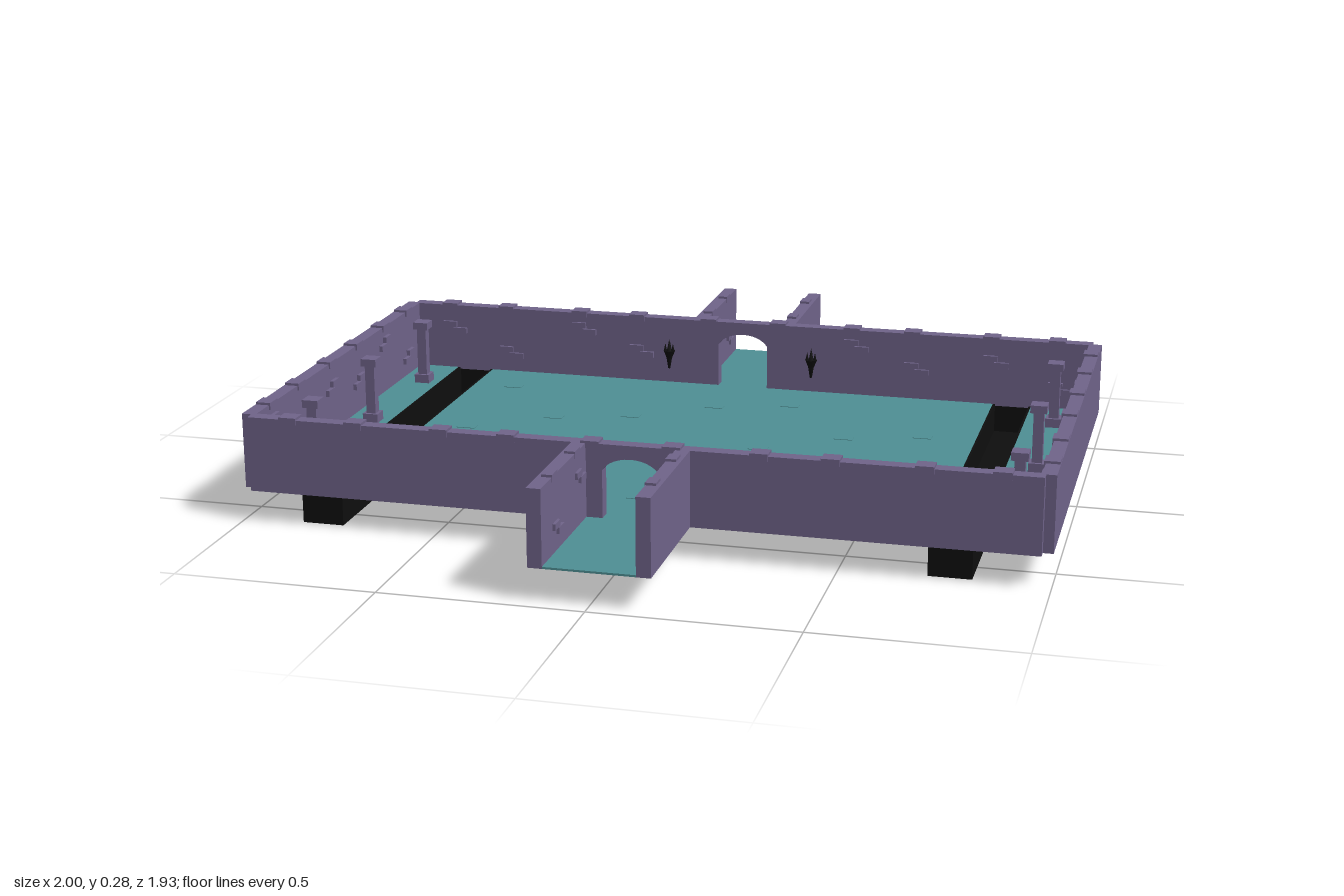
import * as THREE from 'three';

const stone = new THREE.MeshStandardMaterial({ color: 0x70648a });
stone.name = 'purple stone';
const tile = new THREE.MeshStandardMaterial({ color: 0x4f9095 });
tile.name = 'teal floor';
const black = new THREE.MeshStandardMaterial({ color: 0x0e0e0e });
black.name = 'black iron';

const FLOOR = 0.085, BASE = 0.08, TOP = 0.27;

// Box given by its min and max corners
function box(parent, name, mat, x0, x1, y0, y1, z0, z1) {
  const m = new THREE.Mesh(new THREE.BoxGeometry(x1 - x0, y1 - y0, z1 - z0), mat);
  m.position.set((x0 + x1) / 2, (y0 + y1) / 2, (z0 + z1) / 2);
  m.name = name;
  parent.add(m);
  return m;
}

// Box given by its centre and size
function block(parent, name, mat, x, y, z, w, h, d) {
  return box(parent, name, mat, x - w / 2, x + w / 2, y - h / 2, y + h / 2, z - d / 2, z + d / 2);
}

// Long wall with an arched doorway, thickness along z
function archedWall(name, z0) {
  const s = new THREE.Shape();
  s.moveTo(-0.975, BASE);
  s.lineTo(-0.07, BASE);
  s.lineTo(-0.07, 0.205);
  s.bezierCurveTo(-0.045, 0.247, 0.045, 0.247, 0.07, 0.205);
  s.lineTo(0.07, BASE);
  s.lineTo(0.975, BASE);
  s.lineTo(0.975, TOP);
  s.lineTo(-0.975, TOP);
  const g = new THREE.ExtrudeGeometry(s, { depth: 0.035, bevelEnabled: false, curveSegments: 12 });
  const m = new THREE.Mesh(g, stone);
  m.position.z = z0;
  m.name = name;
  return m;
}

// Trench open at the top
function trough(x0, x1) {
  const g = new THREE.Group();
  g.name = 'floorTrench';
  const t = 0.006, z = 0.585;
  box(g, 'trenchBottom', black, x0, x1, 0, t, -z, z);
  box(g, 'trenchSide', black, x0, x0 + t, t, FLOOR, -z, z);
  box(g, 'trenchSide', black, x1 - t, x1, t, FLOOR, -z, z);
  for (const s of [-1, 1]) block(g, 'trenchEnd', black, (x0 + x1) / 2, 0.043, s * (z - t / 2), x1 - x0 - 2 * t, 0.074, t);
  return g;
}

function pillar(x, z) {
  const g = new THREE.Group();
  g.name = 'pillar';
  block(g, 'pillarBase', stone, 0, 0.012, 0, 0.042, 0.024, 0.042);
  block(g, 'pillarShaft', stone, 0, 0.09, 0, 0.026, 0.14, 0.026);
  block(g, 'pillarCap', stone, 0, 0.166, 0, 0.042, 0.02, 0.042);
  g.position.set(x, FLOOR, z);
  return g;
}

// Wall torch: tapered cup, spiky flames and a bracket
function torch(x, side) {
  const g = new THREE.Group();
  g.name = 'torch';
  const add = (name, geo, px, py, pz) => {
    const m = new THREE.Mesh(geo, black);
    m.position.set(px, py, pz);
    m.name = name;
    g.add(m);
  };
  add('torchHandle', new THREE.CylinderGeometry(0.008, 0.003, 0.03, 8), 0, -0.02, 0);
  add('torchCup', new THREE.CylinderGeometry(0.017, 0.008, 0.022, 8), 0, 0.006, 0);
  for (let i = 0; i < 4; i++) {
    const a = i * Math.PI / 2;
    add('torchSpike', new THREE.ConeGeometry(0.005, 0.022, 5), Math.cos(a) * 0.011, 0.027, Math.sin(a) * 0.011);
  }
  add('torchFlame', new THREE.ConeGeometry(0.007, 0.034, 6), 0, 0.033, 0);
  add('torchBracket', new THREE.BoxGeometry(0.008, 0.008, 0.02), 0, -0.008, side * 0.01);
  g.position.set(x, 0.165, side * 0.557);
  return g;
}

export function createModel() {
  const model = new THREE.Group();
  model.name = 'dungeonRoom';

  // Floor, split around the trenches, and corridor floors
  for (const [a, b] of [[-0.965, -0.85], [-0.745, 0.71], [0.815, 0.965]])
    box(model, 'floor', tile, a, b, BASE, FLOOR, -0.575, 0.575);
  for (const s of [-1, 1]) block(model, 'corridorFloor', tile, 0, 0.0825, s * 0.77, 0.22, 0.005, 0.39);
  model.add(trough(-0.85, -0.745), trough(0.71, 0.815));

  // Slightly raised floor tiles
  for (let i = 0; i < 7; i++) for (let j = 0; j < 5; j++)
    if ((i * 3 + j * 2) % 4 < 2)
      block(model, 'floorTile', tile, -0.63 + i * 0.2, 0.0855, -0.42 + j * 0.2 + (i % 2) * 0.06, 0.05, 0.002, 0.03);

  // Room and corridor walls
  model.add(archedWall('frontWall', 0.575), archedWall('backWall', -0.61));
  for (const s of [-1, 1]) {
    block(model, 'sideWall', stone, s * 0.9825, 0.175, 0, 0.035, 0.19, 1.17);
    for (const e of [-1, 1])
      block(model, 'corridorWall', stone, s * 0.1275, 0.175, e * 0.7875, 0.035, 0.19, 0.355);
  }

  // Raised bricks: capping stones and staggered bricks on the inner faces
  const longX = [-0.87, -0.7, -0.48, -0.31, -0.1, 0.1, 0.31, 0.48, 0.7, 0.88];
  const shortZ = [-0.48, -0.3, -0.1, 0.09, 0.3, 0.48];
  const rows = [0.215, 0.15, 0.235, 0.18];
  for (const s of [-1, 1]) {
    longX.forEach((x, i) => {
      block(model, 'capBrick', stone, x, 0.267, s * 0.5925, 0.045, 0.018, 0.041);
      if (Math.abs(x) < 0.15) return;
      const y = rows[i % 4];
      block(model, 'wallBrick', stone, x, y, s * 0.574, 0.04, 0.016, 0.014);
      block(model, 'wallBrick', stone, x + 0.03, y - 0.018, s * 0.574, 0.04, 0.016, 0.014);
    });
    shortZ.forEach((z, i) => {
      block(model, 'capBrick', stone, s * 0.98, 0.267, z, 0.038, 0.018, 0.045);
      const y = rows[(i + 1) % 4];
      block(model, 'wallBrick', stone, s * 0.963, y, z, 0.016, 0.016, 0.04);
      block(model, 'wallBrick', stone, s * 0.963, y - 0.018, z + 0.03, 0.016, 0.016, 0.04);
    });
    for (const e of [-1, 1]) [0.68, 0.86].forEach((z, i) => {
      block(model, 'capBrick', stone, s * 0.122, 0.267, e * z, 0.026, 0.018, 0.042);
      block(model, 'wallBrick', stone, s * 0.11, rows[i], e * z, 0.014, 0.016, 0.04);
      block(model, 'wallBrick', stone, s * 0.11, rows[i] - 0.018, e * z - 0.03, 0.014, 0.016, 0.04);
    });
  }

  // Pillars and torches
  for (const x of [-0.895, 0.895]) for (const z of [-0.41, -0.01, 0.39]) model.add(pillar(x, z));
  for (const x of [-0.21, 0.2]) for (const s of [-1, 1]) model.add(torch(x, s));

  return model;
}
